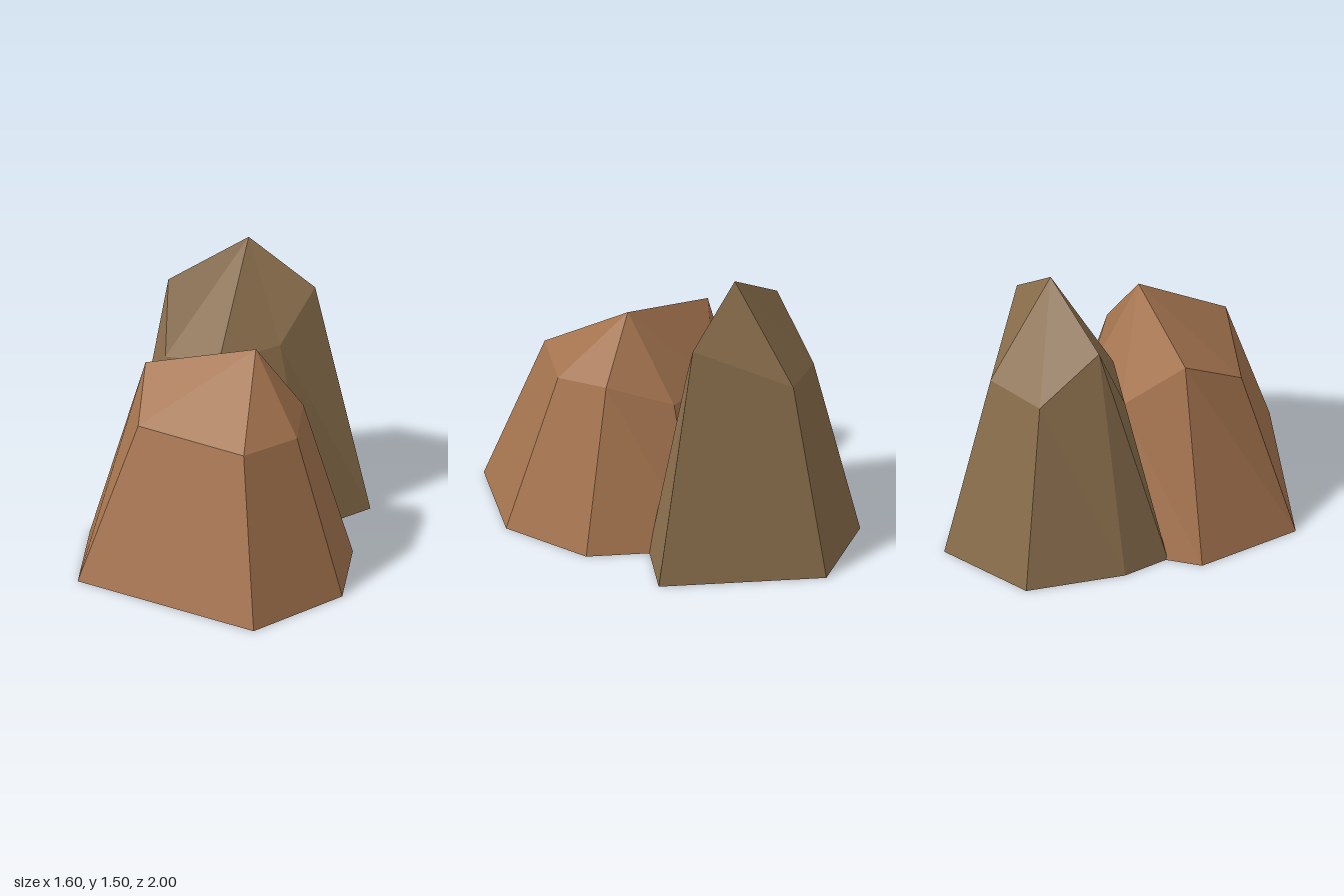
import * as THREE from 'three';

// A faceted rock: ground outline, a shoulder ring shrunk toward the centre, and a peak.
// outline rows are [x, z, shoulderHeight], counter-clockwise seen from above.
function makeRock(name, material, outline, [cx, cz], peak, shrink = 0.6) {
  const base = outline.map(([x, z]) => [x, 0, z]);
  const shoulder = outline.map(([x, z, h]) => [cx + (x - cx) * shrink, h, cz + (z - cz) * shrink]);
  const centre = [cx, 0, cz];
  const points = [];
  for (let i = 0; i < outline.length; i++) {
    const j = (i + 1) % outline.length;
    points.push(base[i], base[j], shoulder[i]);         // side, lower triangle
    points.push(base[j], shoulder[j], shoulder[i]);     // side, upper triangle
    points.push(shoulder[i], shoulder[j], peak);        // sloping cap
    points.push(centre, base[j], base[i]);              // underside
  }
  const geometry = new THREE.BufferGeometry();
  geometry.setAttribute('position', new THREE.Float32BufferAttribute(points.flat(), 3));
  geometry.computeVertexNormals();
  const mesh = new THREE.Mesh(geometry, material);
  mesh.name = name;
  return mesh;
}

export function createModel() {
  const redStone = new THREE.MeshStandardMaterial({ name: 'red brown stone', color: 0xa5744f });
  const oliveStone = new THREE.MeshStandardMaterial({ name: 'olive brown stone', color: 0x8a6e4c });

  const group = new THREE.Group();
  group.name = 'rocks';

  // Shorter rock in front
  group.add(makeRock('frontRock', redStone, [
    [-0.80, 0.30, 0.83], [-0.02, 1.00, 0.83], [0.49, 0.70, 0.81], [0.63, 0.22, 0.85],
    [0.38, -0.30, 0.73], [-0.13, -0.48, 0.72], [-0.64, -0.24, 1.02],
  ], [0, 0.175], [0.14, 1.17, 0.17]));

  // Taller rock behind
  group.add(makeRock('backRock', oliveStone, [
    [-0.47, -0.31, 0.89], [-0.07, 0.01, 0.93], [0.47, -0.06, 0.98], [0.80, -0.23, 1.24],
    [0.43, -1.00, 1.00], [-0.11, -0.99, 0.97], [-0.40, -0.56, 1.25],
  ], [0.13, -0.45], [0.21, 1.50, -0.43]));

  return group;
}
